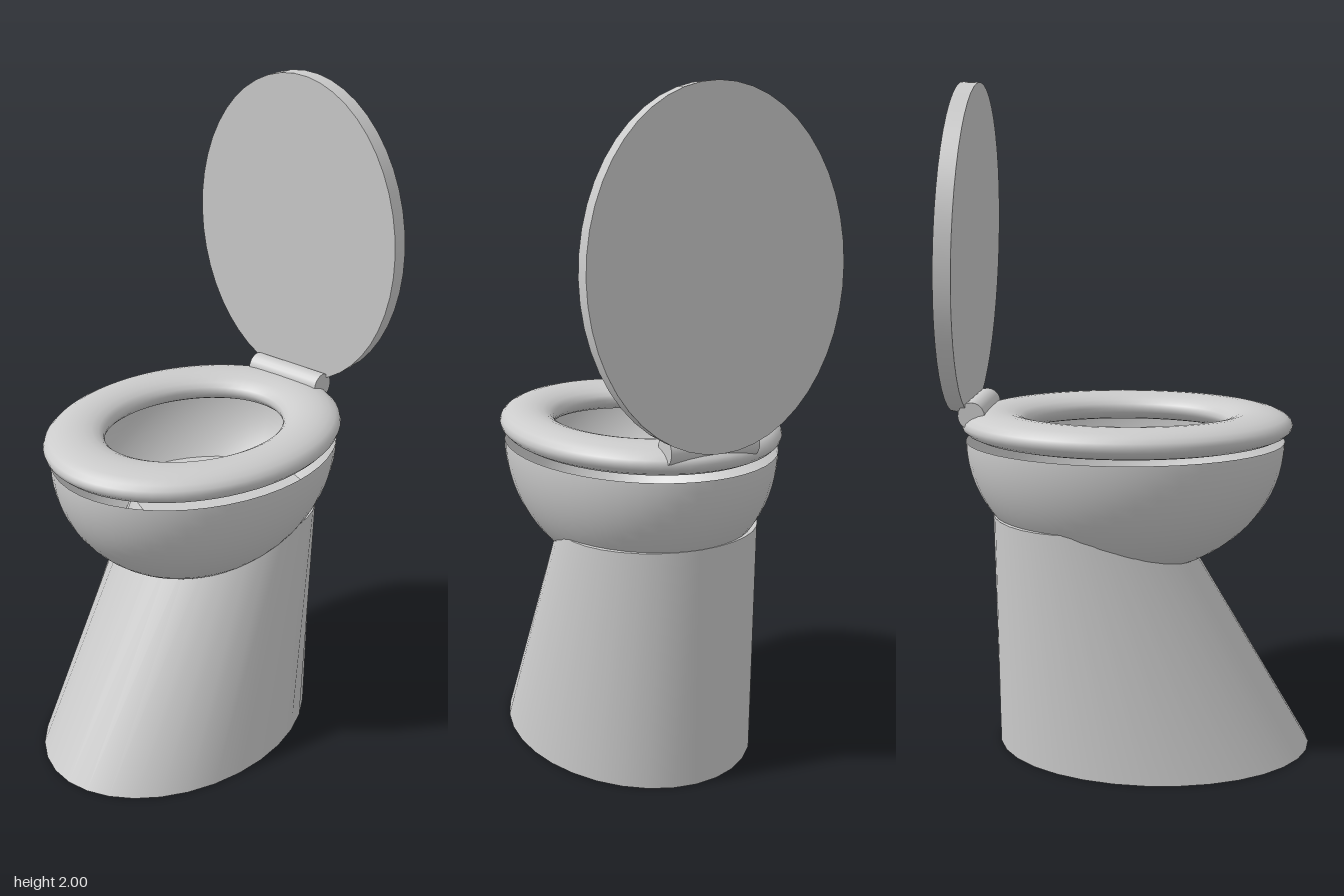
import * as THREE from 'three';
import { mergeVertices } from 'three/addons/utils/BufferGeometryUtils.js';

export function createModel() {
  const model = new THREE.Group();
  const material = new THREE.MeshStandardMaterial({ color: 0xcccccc });
  const openMaterial = new THREE.MeshStandardMaterial({ color: 0xcccccc, side: THREE.DoubleSide });

  function add(name, geometry, x, y, z, mat = material) {
    const mesh = new THREE.Mesh(geometry, mat);
    mesh.name = name;
    mesh.position.set(x, y, z);
    model.add(mesh);
    return mesh;
  }

  // Pedestal: oval column, tapering upward with a sloping front and upright back
  const height = 0.725;
  let pedestal = new THREE.CylinderGeometry(1, 1, 1, 32);
  pedestal.deleteAttribute('uv');
  pedestal = mergeVertices(pedestal);
  const p = pedestal.attributes.position;
  const lerp = THREE.MathUtils.lerp;
  for (let i = 0; i < p.count; i++) {
    const t = p.getY(i) + 0.5;
    p.setXYZ(
      i,
      p.getX(i) * lerp(0.36, 0.3, t),
      t * height,
      p.getZ(i) * lerp(0.48, 0.27, t) + lerp(0.06, -0.16, t)
    );
  }
  pedestal.computeVertexNormals();
  add('pedestal', pedestal, 0, 0, 0);

  // Bowl: open lower half of an ellipsoid
  const bowl = new THREE.SphereGeometry(1, 48, 20, 0, Math.PI * 2, Math.PI / 2, Math.PI / 2);
  bowl.scale(0.39, 0.405, 0.48);
  add('bowl', bowl, 0, 0.95, -0.03, openMaterial);

  // Seat: flattened oval ring
  const seat = new THREE.TorusGeometry(0.32, 0.08, 20, 64);
  seat.rotateX(Math.PI / 2);
  seat.scale(1, 0.56, 1.245);
  add('seat', seat, 0, 1, -0.025);

  // Hinge: short bar across the back of the seat
  const hinge = new THREE.CylinderGeometry(0.04, 0.04, 0.27, 20);
  hinge.rotateZ(Math.PI / 2);
  add('hinge', hinge, 0, 1.037, -0.472);

  // Lid: raised oval slab, its top leaning slightly forward
  const lid = new THREE.CylinderGeometry(1, 1, 0.05, 48);
  lid.rotateX(Math.PI / 2);
  lid.scale(0.38, 0.485, 1);
  add('lid', lid, 0, 1.514, -0.495).rotation.x = 0.043;

  return model;
}
